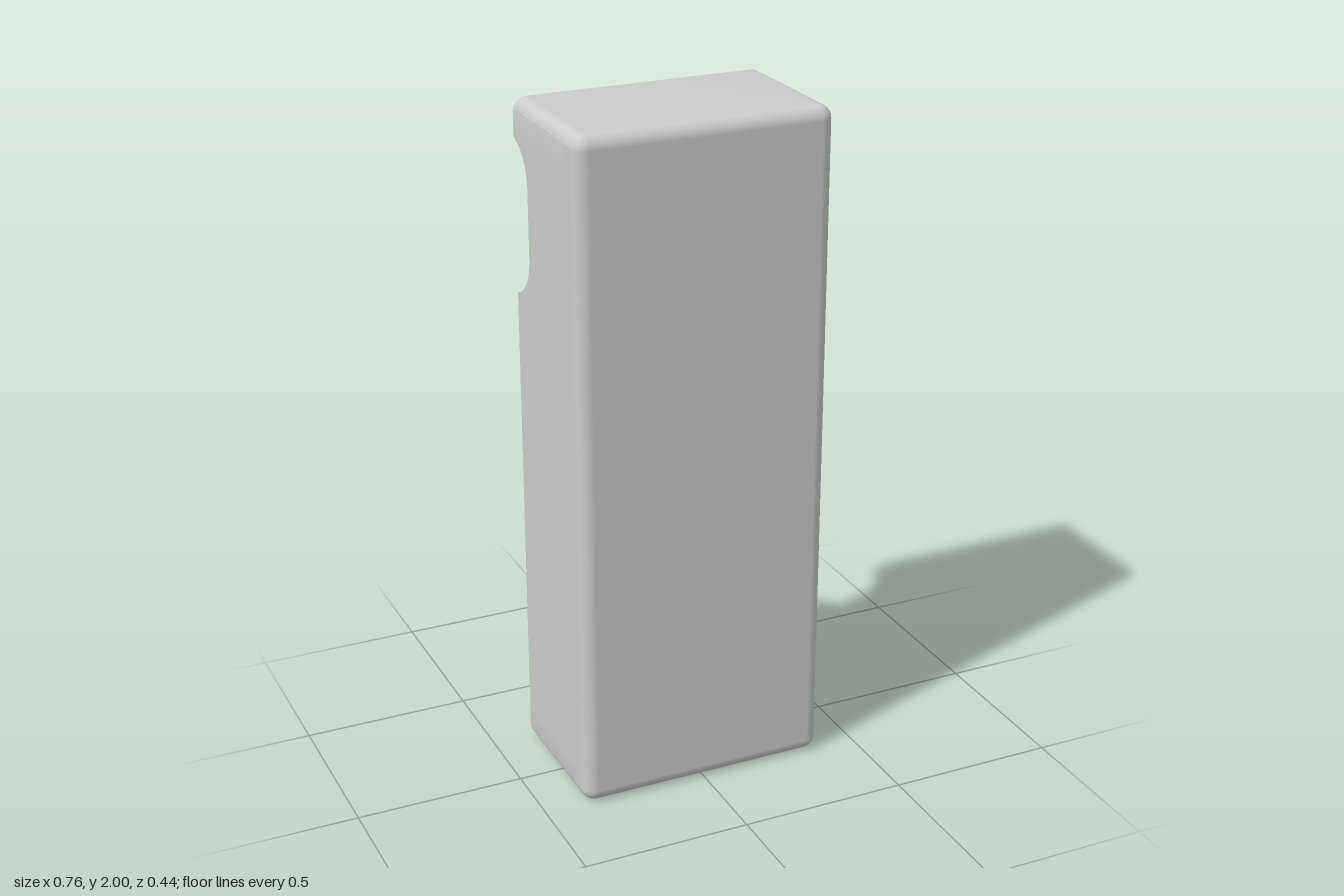
import * as THREE from 'three';
import { toCreasedNormals } from 'three/addons/utils/BufferGeometryUtils.js';

const W = 0.38, H = 2, BACK = -0.22, FRONT = 0.22; // outer half width, height, depth
const FLOOR = 0.14, T = 0.1, R = 0.04;             // inner floor z, wall thickness, edge radius

const material = new THREE.MeshStandardMaterial({ color: 0xcccccc });

function addMesh(group, name, geometry) {
  const mesh = new THREE.Mesh(geometry, material);
  mesh.name = name;
  group.add(mesh);
}

function extrude(shape, depth) {
  const g = new THREE.ExtrudeGeometry(shape, { depth, bevelEnabled: false, curveSegments: 12 });
  return toCreasedNormals(g, 0.5);
}

// Front plate: rounded-rectangle loops that shrink over the filleted front edge
function frontPlateGeometry() {
  const N = 8, ring = [], pos = [], nor = [], idx = [];
  const corners = [[1, 1], [-1, 1], [-1, -1], [1, -1]];
  corners.forEach(([sx, sy], c) => {
    for (let i = 0; i <= N; i++) {
      const a = (c + i / N) * Math.PI / 2;
      ring.push([sx * (W - R), H / 2 + sy * (H / 2 - R), Math.cos(a), Math.sin(a)]);
    }
  });
  const rows = [[FLOOR, 0]];
  for (let i = 0; i <= N; i++) {
    const p = i / N * Math.PI / 2;
    rows.push([FRONT - R + R * Math.sin(p), p]);
  }
  const n = ring.length;
  rows.forEach(([z, p], r) => {
    ring.forEach(([cx, cy, dx, dy], i) => {
      const k = Math.cos(p);
      pos.push(cx + R * k * dx, cy + R * k * dy, z);
      nor.push(k * dx, k * dy, Math.sin(p));
      if (r > 0) {
        const j = (i + 1) % n, a = (r - 1) * n, b = r * n;
        idx.push(a + i, a + j, b + j, a + i, b + j, b + i);
      }
    });
  });
  // flat front face
  const last = (rows.length - 1) * n;
  for (let i = 1; i < n - 1; i++) idx.push(last, last + i, last + i + 1);
  const g = new THREE.BufferGeometry();
  g.setAttribute('position', new THREE.Float32BufferAttribute(pos, 3));
  g.setAttribute('normal', new THREE.Float32BufferAttribute(nor, 3));
  g.setIndex(idx);
  return g;
}

// End wall: slab across the width with two rounded outer corners
function endWallGeometry(top) {
  const s = new THREE.Shape();
  if (top) {
    s.moveTo(-W, H - T);
    s.lineTo(W, H - T);
    s.absarc(W - R, H - R, R, 0, Math.PI / 2, false);
    s.absarc(-W + R, H - R, R, Math.PI / 2, Math.PI, false);
  } else {
    s.moveTo(W, T);
    s.lineTo(-W, T);
    s.absarc(-W + R, R, R, Math.PI, Math.PI * 1.5, false);
    s.absarc(W - R, R, R, Math.PI * 1.5, Math.PI * 2, false);
  }
  s.closePath();
  return extrude(s, FLOOR - BACK).translate(0, 0, BACK);
}

// Side wall: profile in z and y with a notch cut from the back edge
function sideWallGeometry(cutNotch, outerX) {
  const s = new THREE.Shape();
  s.moveTo(BACK, T);
  s.lineTo(FLOOR, T);
  s.lineTo(FLOOR, H - T);
  s.lineTo(BACK, H - T);
  cutNotch(s);
  s.closePath();
  return extrude(s, T).rotateY(-Math.PI / 2).translate(outerX, 0, 0);
}

function squareNotch(s) {
  s.lineTo(BACK, 1.26);
  s.lineTo(0.07, 1.26);
  s.lineTo(0.07, 0.68);
  s.lineTo(BACK, 0.68);
}

function roundedNotch(s) {
  const r = 0.13, depth = 0.095, mid = 1.665, flat = 0.1;
  const cz = BACK + depth - r, a = Math.acos((r - depth) / r);
  s.absarc(cz, mid + flat, r, a, 0, true);
  s.absarc(cz, mid - flat, r, 0, -a, true);
}

export function createModel() {
  const group = new THREE.Group();
  group.name = 'caseShell';
  addMesh(group, 'frontPlate', frontPlateGeometry());
  // inner floor of the tray
  const floor = new THREE.PlaneGeometry(2 * (W - T), H - 2 * T).rotateY(Math.PI).translate(0, H / 2, FLOOR);
  addMesh(group, 'innerFloor', floor);
  addMesh(group, 'topWall', endWallGeometry(true));
  addMesh(group, 'bottomWall', endWallGeometry(false));
  addMesh(group, 'leftWall', sideWallGeometry(squareNotch, W));
  addMesh(group, 'rightWall', sideWallGeometry(roundedNotch, -W + T));
  return group;
}
